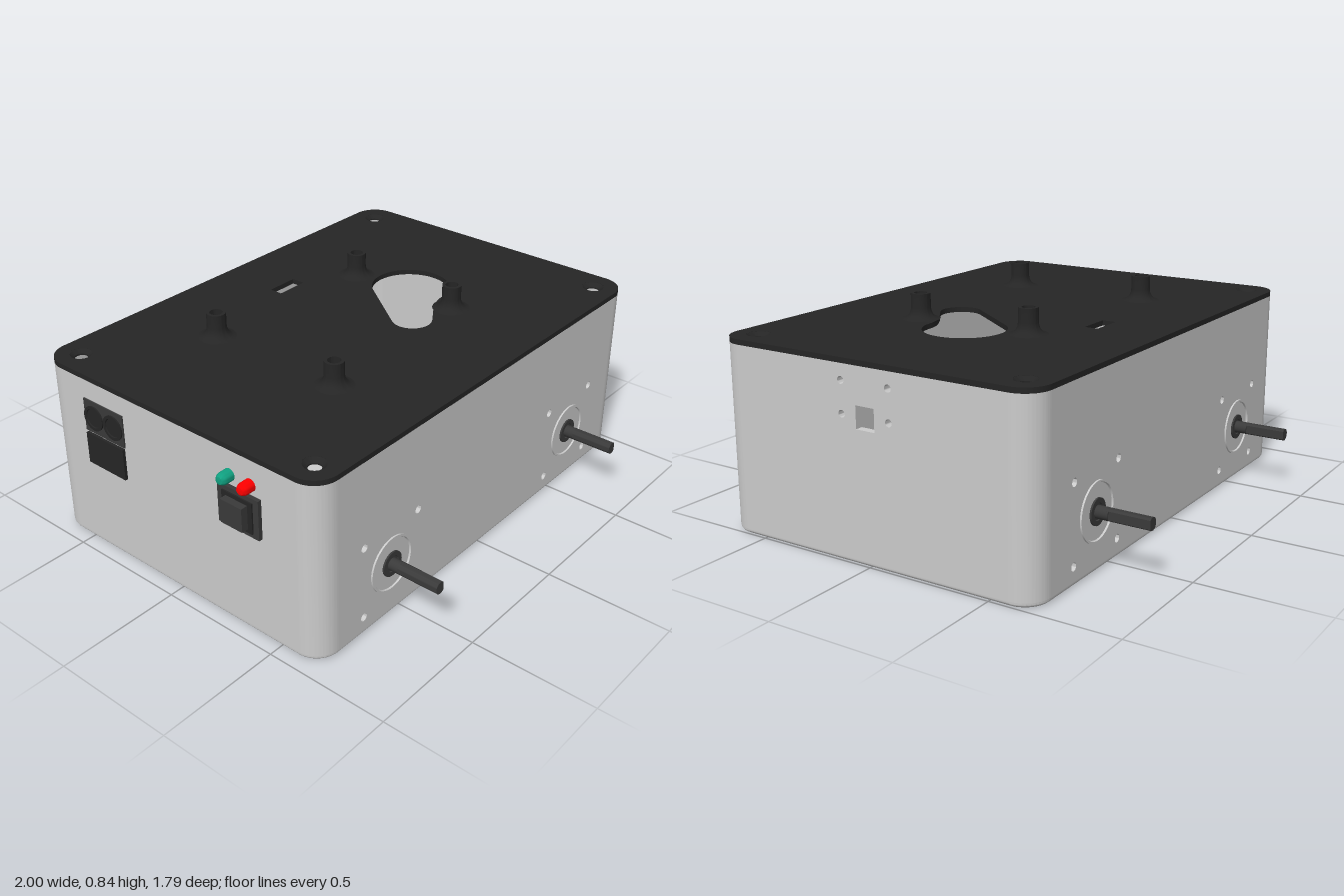
import * as THREE from 'three';
import { toCreasedNormals } from 'three/addons/utils/BufferGeometryUtils.js';

const CX = 0.0275, HW = 0.9725, HD = 0.68, R = 0.1, T = 0.03; // case centre, half sizes, corner, wall
const BASE = 0.02, RIM = 0.725, LID = 0.745;
const mat = (color) => new THREE.MeshStandardMaterial({ color });
const grey = mat(0xcccccc), black = mat(0x252525), dark = mat(0x3a3a3a);
const red = mat(0xff0000), green = mat(0x10a080);

function add(parent, name, geometry, material, x = 0, y = 0, z = 0) {
  const mesh = new THREE.Mesh(geometry, material);
  mesh.name = name;
  mesh.position.set(x, y, z);
  parent.add(mesh);
  return mesh;
}

function extrude(shape, depth, options = {}) {
  const g = new THREE.ExtrudeGeometry(shape, { depth, bevelEnabled: false, curveSegments: 20, ...options });
  return toCreasedNormals(g, 0.6);
}

function lathe(points, segments = 40) {
  const g = new THREE.LatheGeometry(points.map(([x, y]) => new THREE.Vector2(x, y)), segments);
  return toCreasedNormals(g, 0.6);
}

function circle(x, y, r) {
  const p = new THREE.Path();
  p.absarc(x, y, r, 0, Math.PI * 2, true);
  return p;
}

function rect(x0, y0, x1, y1, Type = THREE.Path) {
  return new Type([[x0, y0], [x1, y0], [x1, y1], [x0, y1]].map(([x, y]) => new THREE.Vector2(x, y)));
}

// Rounded outline of the case seen from above (shape y = -z)
function outline() {
  const s = new THREE.Shape(), q = Math.PI / 2;
  s.absarc(CX + HW - R, HD - R, R, 0, q);
  s.absarc(CX - HW + R, HD - R, R, q, 2 * q);
  s.absarc(CX - HW + R, -HD + R, R, 2 * q, 3 * q);
  s.absarc(CX + HW - R, -HD + R, R, 3 * q, 4 * q);
  return s;
}

// Flat wall with holes, its outer face at local z = 0
function wall(halfWidth, holes) {
  const s = rect(-halfWidth, BASE, halfWidth, RIM, THREE.Shape);
  s.holes.push(...holes);
  return extrude(s, T).translate(0, 0, -T);
}

// Pear-shaped opening in the lid
function pear() {
  const p = new THREE.Path(), a = 2.506;
  p.absarc(0.415, 0, 0.16, a, -Math.PI / 2, true);
  p.bezierCurveTo(0.35, -0.16, 0.29, -0.21, 0.221, -0.256);
  p.absarc(0.175, -0.19, 0.08, -0.96, a - Math.PI * 2, true);
  p.closePath();
  return p;
}

export function createModel() {
  const model = new THREE.Group();
  model.name = 'gearboxCase';
  const motorX = [-0.56, 0.605], motorY = 0.225;

  // Floor with a rounded lower edge and screw holes
  const floor = outline();
  for (const [x, y] of [[0.26, 0.355], [0.26, -0.355], [-0.11, 0.355], [-0.11, -0.355], [0.776, 0]])
    floor.holes.push(circle(x, y, 0.012));
  add(model, 'floor', extrude(floor, 0.001, {
    bevelEnabled: true, bevelThickness: 0.02, bevelSize: 0.018, bevelOffset: -0.018, bevelSegments: 4,
  }).rotateX(-Math.PI / 2), grey, 0, 0.02, 0);

  // Front and back walls with motor screw holes
  for (const side of [1, -1]) {
    const holes = [];
    for (const mx of motorX)
      for (const dx of [-0.15, 0.15])
        for (const dy of [-0.15, 0.15]) holes.push(circle(side * (mx + dx - CX), motorY + dy, 0.016));
    const w = add(model, side > 0 ? 'frontWall' : 'backWall', wall(HW - R, holes), grey, CX, 0, side * HD);
    w.rotation.y = side > 0 ? 0 : Math.PI;
  }

  // Side walls; the left one has a square port and four screw holes
  const portHoles = [rect(-0.04, 0.5, 0.04, 0.585)];
  for (const x of [-0.102, 0.102]) for (const y of [0.545, 0.665]) portHoles.push(circle(x, y, 0.014));
  add(model, 'leftWall', wall(HD - R, portHoles), grey, CX + HW).rotation.y = Math.PI / 2;
  add(model, 'rightWall', wall(HD - R, []), grey, CX - HW).rotation.y = -Math.PI / 2;

  // Rounded vertical corners
  const arc = new THREE.Shape();
  arc.absarc(0, 0, R, 0, Math.PI / 2);
  arc.absarc(0, 0, R - T, Math.PI / 2, 0, true);
  const corner = extrude(arc, RIM - BASE).rotateX(-Math.PI / 2);
  [[1, -1], [-1, -1], [-1, 1], [1, 1]].forEach(([sx, sz], i) => {
    add(model, 'caseCorner', corner, grey, CX + sx * (HW - R), BASE, sz * (HD - R)).rotation.y = i * Math.PI / 2;
  });

  // Lid with screw holes, slot, pear-shaped opening and post bores
  const lid = outline();
  const screws = [-0.845, 0.895].flatMap((x) => [[x, -0.58], [x, 0.58]]);
  const posts = [[-0.415, 0.295], [-0.415, -0.295], [0.36, 0.245], [0.36, -0.245]];
  screws.forEach(([x, z]) => lid.holes.push(circle(x, -z, 0.045)));
  posts.forEach(([x, z]) => lid.holes.push(circle(x, -z, 0.03)));
  lid.holes.push(rect(0.017, 0.362, 0.152, 0.417), pear());
  add(model, 'lid', extrude(lid, LID - RIM).rotateX(-Math.PI / 2), black, 0, RIM, 0);

  // Countersinks at the lid corners
  const sink = lathe([[0.025, 0], [0.046, 0], [0.046, 0.0195], [0.042, 0.0195], [0.025, 0.006], [0.025, 0]]);
  screws.forEach(([x, z]) => add(model, 'countersink', sink, black, x, RIM, z));

  // Hollow posts with flared feet
  const post = lathe([[0.025, 0], [0.031, 0], [0.031, 0.02], [0.075, 0.02], [0.06, 0.024], [0.047, 0.035],
    [0.04, 0.05], [0.038, 0.065], [0.038, 0.12], [0.025, 0.12], [0.025, 0]]);
  posts.forEach(([x, z]) => add(model, 'lidPost', post, black, x, RIM, z));

  // Motor outlets: ringed disc, collar and a shaft with a flat
  const disc = lathe([[0.113, -0.01], [0.113, 0.007], [0.105, 0.007], [0.102, 0.001], [0, 0.001]], 48).rotateX(Math.PI / 2);
  const collar = lathe([[0.05, 0], [0.05, 0.008], [0.032, 0.008], [0.03, 0.004], [0, 0.004]]).rotateX(Math.PI / 2);
  const root = new THREE.CylinderGeometry(0.024, 0.024, 0.09, 28).rotateX(Math.PI / 2).translate(0, 0, 0.01);
  for (const side of [1, -1]) {
    const cut = new THREE.Shape();
    cut.absarc(0, 0, 0.024, side > 0 ? 0.75 : Math.PI + 0.75 - 2 * Math.PI, side > 0 ? 2 * Math.PI - 0.75 : Math.PI - 0.75);
    const tip = extrude(cut, 0.17);
    for (const x of motorX) {
      const outlet = new THREE.Group();
      outlet.name = 'motorOutlet';
      outlet.position.set(x, motorY, side * HD);
      outlet.rotation.y = side > 0 ? 0 : Math.PI;
      add(outlet, 'outletRing', disc, grey);
      add(outlet, 'shaftCollar', collar, dark);
      add(outlet, 'shaftRoot', root, dark);
      add(outlet, 'shaftTip', tip, dark, 0, 0, 0.045);
      model.add(outlet);
    }
  }

  // Right side controls, laid out on a panel whose local x is world z
  const panel = new THREE.Group();
  panel.name = 'controls';
  panel.position.x = CX - HW;
  panel.rotation.y = -Math.PI / 2;
  model.add(panel);
  const box = (name, x, y, w, h, d, m) => add(panel, name, new THREE.BoxGeometry(w, h, d + 0.01), m, x, y, d / 2 - 0.005);

  // Rocker switch
  box('switchPlate', 0.335, 0.508, 0.19, 0.16, 0.016, dark);
  box('switchFrame', 0.335, 0.508, 0.14, 0.125, 0.022, black);
  box('switchRocker', 0.335, 0.508, 0.1, 0.095, 0.05, dark);

  // Indicator lamps
  const lamp = lathe([[0.024, -0.01], [0.024, 0.03], [0.022, 0.041], [0.015, 0.051], [0, 0.055]], 28).rotateX(Math.PI / 2);
  add(panel, 'greenLamp', lamp, green, 0.287, 0.628, 0);
  add(panel, 'redLamp', lamp, red, 0.383, 0.628, 0);

  // Power inlet: pair of round sockets above a square block
  box('inletBlock', -0.352, 0.44, 0.2, 0.13, 0.012, black);
  box('inletPlate', -0.352, 0.58, 0.21, 0.135, 0.006, dark);
  const socket = lathe([[0.05, -0.005], [0.05, 0.012], [0.038, 0.012], [0.036, 0.008], [0, 0.008]]).rotateX(Math.PI / 2);
  for (const dx of [-0.052, 0.052]) add(panel, 'inletSocket', socket, black, -0.352 + dx, 0.58, 0);

  return model;
}
